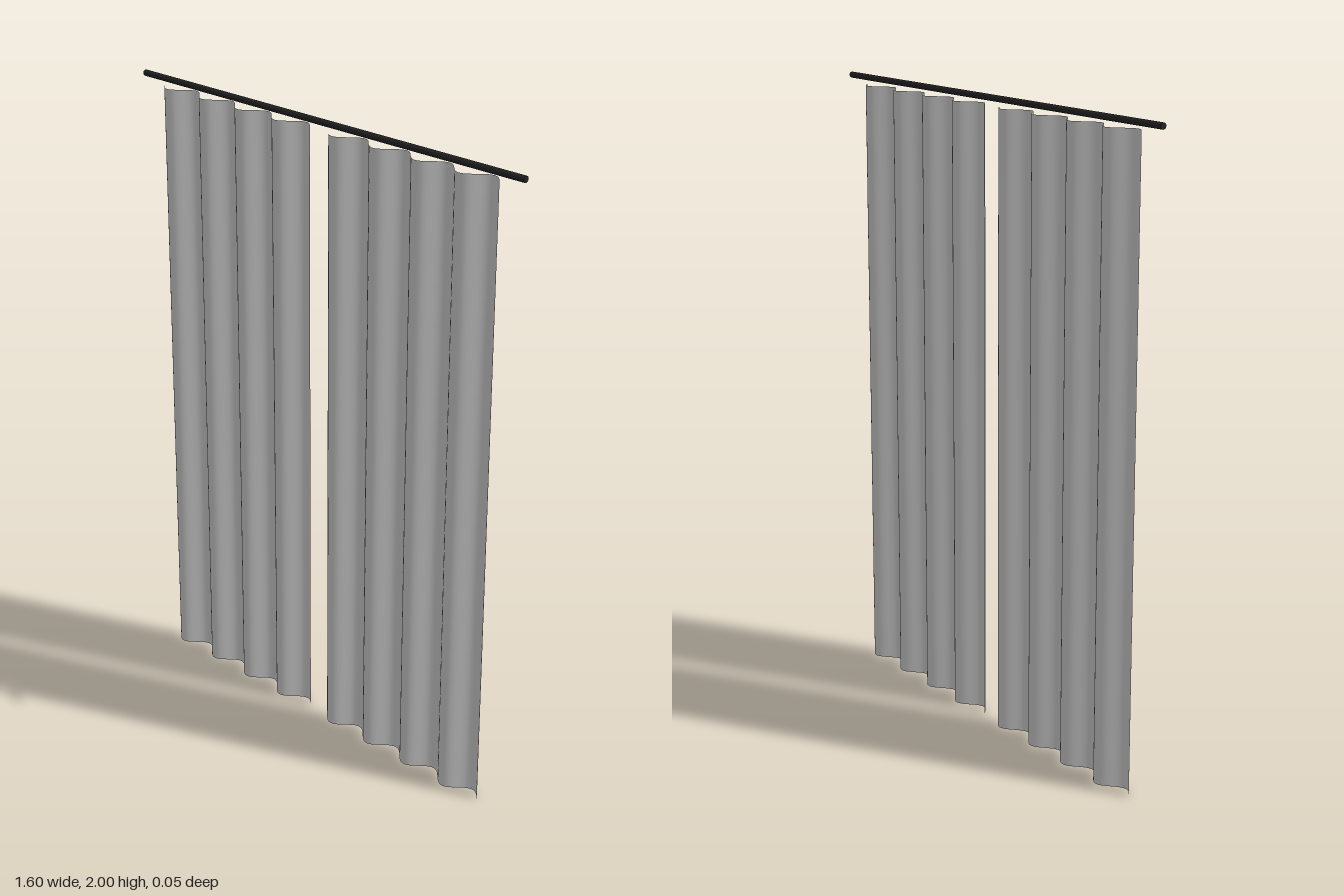
import * as THREE from 'three';

const ROD_LENGTH = 1.6, ROD_RADIUS = 0.01;
const PANEL_WIDTH = 0.667, PANEL_HEIGHT = 1.967, PANEL_CENTRE = 0.373;
const FOLDS = 4, FOLD_DEPTH = 0.026;

// Flat cloth pushed into even sine-shaped folds
function pleatedCloth() {
  const geo = new THREE.PlaneGeometry(PANEL_WIDTH, PANEL_HEIGHT, FOLDS * 20, 1);
  const pos = geo.attributes.position;
  for (let i = 0; i < pos.count; i++) {
    const u = pos.getX(i) / PANEL_WIDTH + 0.5;
    pos.setZ(i, FOLD_DEPTH * Math.sin(u * FOLDS * Math.PI * 2));
  }
  geo.computeVertexNormals();
  return geo;
}

export function createModel() {
  const group = new THREE.Group();
  group.name = 'curtains';

  // Rod
  const rod = new THREE.Mesh(
    new THREE.CylinderGeometry(ROD_RADIUS, ROD_RADIUS, ROD_LENGTH, 16),
    new THREE.MeshStandardMaterial({ color: 0x222222 })
  );
  rod.name = 'curtainRod';
  rod.rotation.z = Math.PI / 2;
  rod.position.y = 2 - ROD_RADIUS;
  group.add(rod);

  // Two hanging panels with the same run of folds
  const cloth = pleatedCloth();
  const fabric = new THREE.MeshStandardMaterial({ color: 0xcccccc, side: THREE.DoubleSide });
  for (const [name, side] of [['leftCurtain', 1], ['rightCurtain', -1]]) {
    const panel = new THREE.Mesh(cloth, fabric);
    panel.name = name;
    panel.position.set(side * PANEL_CENTRE, PANEL_HEIGHT / 2, 0);
    group.add(panel);
  }
  return group;
}
